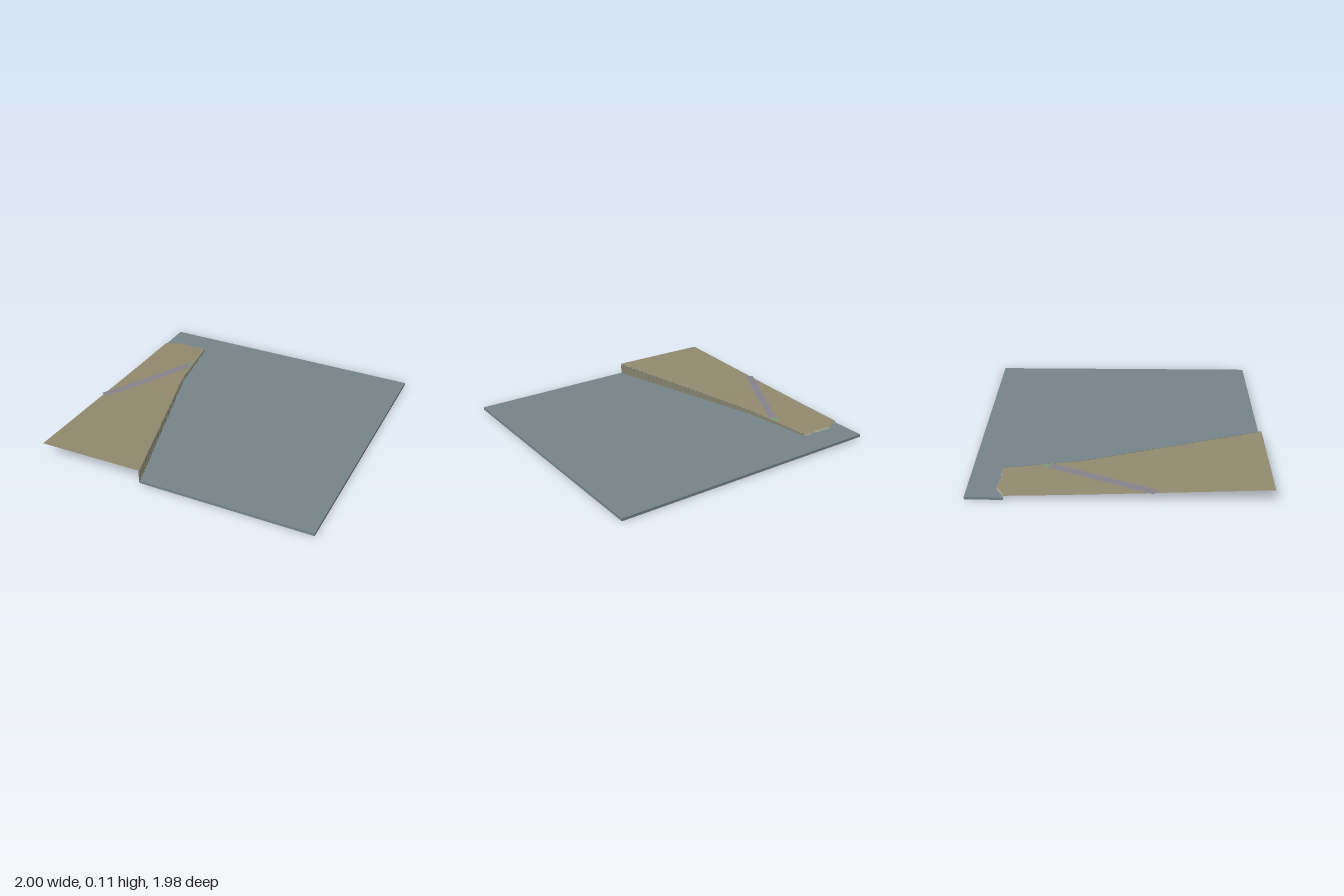
import * as THREE from 'three';

// Key points [z, x] along the wall line and [x, z] along the ragged far shore
const WALL = [[-0.78, -0.64], [-0.55, -0.61], [-0.27, -0.57], [-0.1, -0.525], [0.15, -0.455], [0.985, -0.225]];
const SHORE = [[-0.98, -0.74], [-0.94, -0.75], [-0.91, -0.775], [-0.87, -0.79], [-0.82, -0.785], [-0.77, -0.785],
  [-0.74, -0.775], [-0.69, -0.785], [-0.64, -0.78]];
const HEIGHT = [[-0.8, 0.043], [-0.4, 0.054], [0, 0.068], [0.5, 0.088], [0.985, 0.107]];

// Piecewise linear lookup
function lookup(table, t) {
  let i = 1;
  while (i < table.length - 1 && t > table[i][0]) i++;
  const [a, b] = [table[i - 1], table[i]];
  const k = THREE.MathUtils.clamp((t - a[0]) / (b[0] - a[0]), 0, 1);
  return a[1] + (b[1] - a[1]) * k;
}
const wallX = (z) => lookup(WALL, z);
const shoreZ = (x) => lookup(SHORE, x);
const landY = (x, z) => lookup(HEIGHT, z) - 0.006 * Math.max(0, wallX(z) - x);
const slabLift = (x) => 0.006 * (1 - x);

function part(name, geometry, color) {
  const material = new THREE.MeshStandardMaterial({ color, side: THREE.DoubleSide });
  const mesh = new THREE.Mesh(geometry, material);
  mesh.name = name;
  return mesh;
}

// Ribbon between two rows of points
function ribbon(rowA, rowB) {
  const g = new THREE.BufferGeometry().setFromPoints([...rowA, ...rowB]);
  const n = rowA.length;
  const index = [];
  for (let i = 0; i < n - 1; i++) index.push(i, n + i, i + 1, i + 1, n + i, n + i + 1);
  g.setIndex(index);
  const flat = g.toNonIndexed();
  flat.computeVertexNormals();
  return flat;
}

// Thin slab filling everything outside the bank
function waterSlab() {
  const outline = [[1, 0.985], [1, -0.99], [-0.98, -0.99], ...SHORE, ...WALL.slice(1).map(([z, x]) => [x, z])];
  const shape = new THREE.Shape(outline.map(([x, z]) => new THREE.Vector2(x, -z)));
  const g = new THREE.ExtrudeGeometry(shape, { depth: 0.019, bevelEnabled: false });
  g.rotateX(-Math.PI / 2);
  const p = g.attributes.position;
  for (let i = 0; i < p.count; i++) p.setY(i, p.getY(i) + slabLift(p.getX(i)));
  g.computeVertexNormals();
  return g;
}

// Sloping sheet of land that follows the wall line and the shore
function landSheet() {
  const g = new THREE.PlaneGeometry(1, 1, 24, 60);
  g.rotateX(-Math.PI / 2);
  const p = g.attributes.position;
  for (let i = 0; i < p.count; i++) {
    const u = p.getX(i) + 0.5;
    const v = p.getZ(i) + 0.5;
    const x = THREE.MathUtils.lerp(-0.98, wallX(-0.78 + 1.765 * v), u);
    const z = THREE.MathUtils.lerp(shoreZ(x), 0.985, v);
    p.setXYZ(i, x, landY(x, z), z);
  }
  g.computeVertexNormals();
  return g;
}

// Corrugated retaining wall along the bank
function sheetWall() {
  const top = [];
  const bottom = [];
  const steps = 180;
  const profile = [0, 0, 0.01, 0.01];
  for (let i = 0; i <= steps; i++) {
    const z = -0.78 + (1.765 * i) / steps;
    const x = wallX(z) - 0.004 + profile[i % 4];
    top.push(new THREE.Vector3(x, landY(x, z) + 0.001, z));
    bottom.push(new THREE.Vector3(x, slabLift(x) + 0.008, z));
  }
  return ribbon(top, bottom);
}

// Short pale face where the land drops to the water
function shoreFace() {
  const top = SHORE.map(([x, z]) => new THREE.Vector3(x, landY(x, z), z));
  const bottom = SHORE.map(([x, z]) => new THREE.Vector3(x, slabLift(x) + 0.012, z - 0.012));
  return ribbon(top, bottom);
}

// Straight road laid just over the land
function roadStrip() {
  const a = [];
  const b = [];
  for (let i = 0; i <= 30; i++) {
    const t = i / 30;
    const x = THREE.MathUtils.lerp(-0.973, -0.622, t);
    const z = THREE.MathUtils.lerp(0.23, -0.467, t);
    const y = landY(x, z) + 0.002;
    a.push(new THREE.Vector3(x - 0.026, y, z - 0.013));
    b.push(new THREE.Vector3(x + 0.026, y, z + 0.013));
  }
  return ribbon(a, b);
}

// Small grassy triangle where the road meets the wall
function grassPatch() {
  const corner = (x, z) => new THREE.Vector3(x, landY(x, z) + 0.003, z);
  return ribbon([corner(-0.613, -0.55), corner(-0.65, -0.478)], [corner(-0.607, -0.52), corner(-0.6, -0.455)]);
}

export function createModel() {
  const group = new THREE.Group();
  group.name = 'riverbank';
  group.add(
    part('water', waterSlab(), 0x76858a),
    part('land', landSheet(), 0x928b70),
    part('retainingWall', sheetWall(), 0x85846f),
    part('shoreFace', shoreFace(), 0xa0a48e),
    part('road', roadStrip(), 0x86838c),
    part('grassPatch', grassPatch(), 0x7c9878),
  );
  return group;
}
